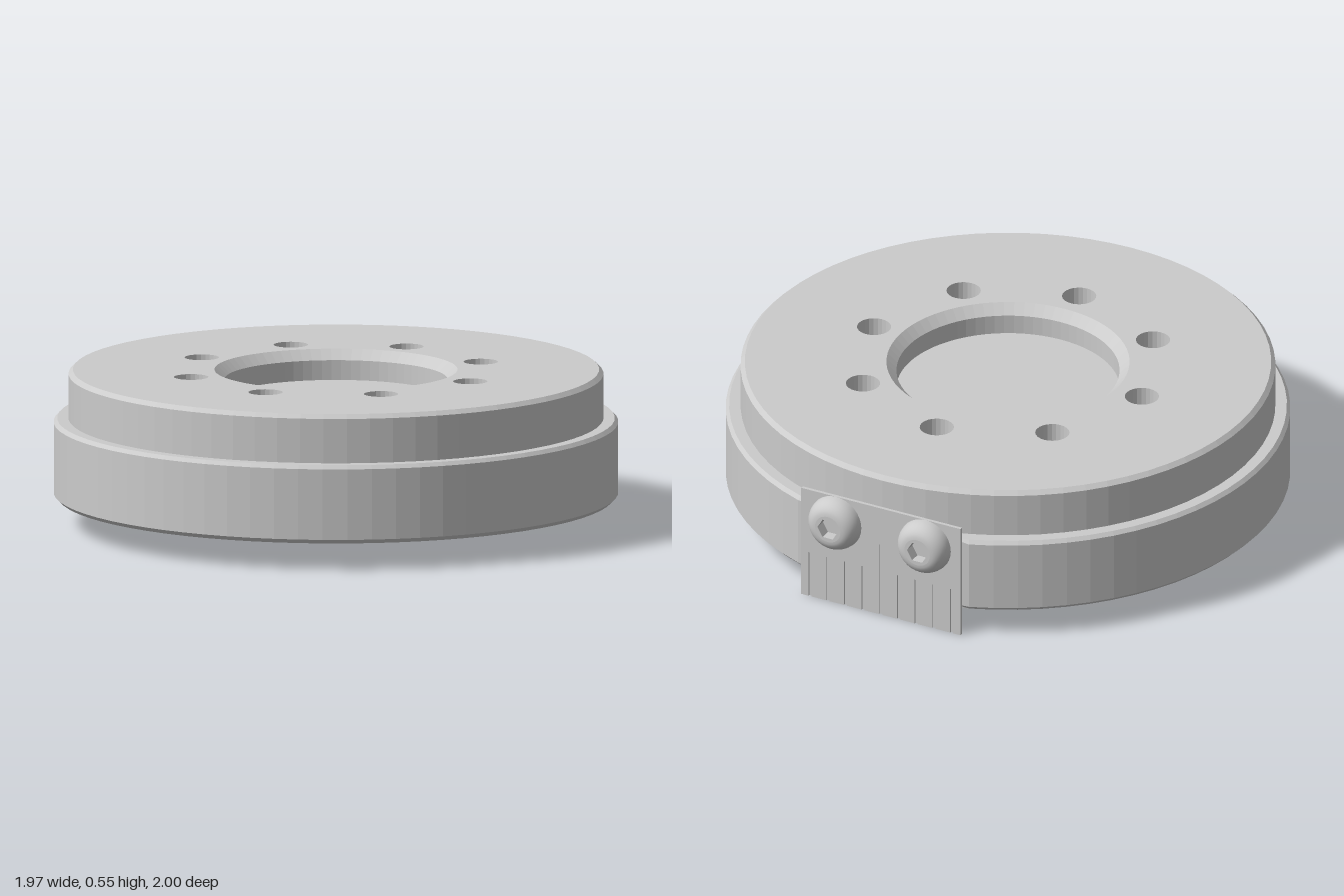
import * as THREE from 'three';

const SEG = 72;
const CENTRE_Z = 0.01; // the disc sits slightly forward of the screw heads
const FLAT_Z = -0.935; // flat milled on the back of the lower rim

const vec = (pts) => pts.map(([x, y]) => new THREE.Vector2(x, y));

function ring(radius, sides, cx = 0, cy = 0) {
  return Array.from({ length: sides }, (_, i) => {
    const a = (i / sides) * Math.PI * 2;
    return new THREE.Vector2(cx + radius * Math.cos(a), cy + radius * Math.sin(a));
  });
}

export function createModel() {
  const model = new THREE.Group();
  model.name = 'mountingDisc';
  const flat = new THREE.MeshStandardMaterial({ color: 0xcccccc, flatShading: true });
  const smooth = new THREE.MeshStandardMaterial({ color: 0xcccccc });

  const add = (parent, name, geometry, material = flat) => {
    const mesh = new THREE.Mesh(geometry, material);
    mesh.name = name;
    parent.add(mesh);
    return mesh;
  };

  const disc = new THREE.Group();
  disc.name = 'disc';
  disc.position.z = CENTRE_Z;
  model.add(disc);

  // Stepped body: underside recess, chamfered lower rim, upper step
  const body = new THREE.LatheGeometry(vec([
    [0, 0.2], [0.885, 0.2], [0.885, 0.11], [0.905, 0.095], [0.972, 0.095],
    [0.987, 0.11], [0.987, 0.36], [0.975, 0.373], [0.935, 0.373],
    [0.935, 0.53], [0.92, 0.545],
  ]), SEG);
  const pos = body.attributes.position;
  for (let i = 0; i < pos.count; i++) pos.setZ(i, Math.max(pos.getZ(i), FLAT_Z));
  add(disc, 'body', body);

  // Top face, pierced by the central bore and eight bolt holes
  const top = new THREE.Shape(ring(0.92, SEG));
  top.holes.push(new THREE.Path(ring(0.425, SEG)));
  const holeProfile = vec([[0.06, 0], [0.06, -0.12], [0, -0.15]]);
  for (let i = 0; i < 8; i++) {
    const a = (i * Math.PI) / 4;
    const x = 0.53 * Math.cos(a), y = 0.53 * Math.sin(a);
    top.holes.push(new THREE.Path(ring(0.06, 24, x, y)));
    add(disc, 'boltHole', new THREE.LatheGeometry(holeProfile, 24)).position.set(x, 0.545, -y);
  }
  const topFace = add(disc, 'topFace', new THREE.ShapeGeometry(top));
  topFace.rotation.x = -Math.PI / 2;
  topFace.position.y = 0.545;

  // Shallow chamfered bore
  add(disc, 'centreBore', new THREE.LatheGeometry(
    vec([[0.425, 0.545], [0.39, 0.51], [0.39, 0.44], [0, 0.44]]), SEG));

  // Scale plate, built facing +z and then turned to the back
  const plate = new THREE.Group();
  plate.name = 'scalePlate';
  plate.rotation.y = Math.PI;
  plate.position.z = -0.925;
  model.add(plate);

  const W = 0.315, H = 0.425, T = 0.006;
  add(plate, 'plateBacking', new THREE.BoxGeometry(W * 2, H, T)).position.set(0, H / 2, T / 2);

  // Engraved layer: graduation grooves open at the lower edge
  const outline = [[-W, 0]];
  for (let i = -4; i <= 4; i++) {
    const x = i * 0.07, h = i === 0 ? 0.28 : 0.175, w = 0.006;
    outline.push([x - w, 0], [x - w, h], [x + w, h], [x + w, 0]);
  }
  outline.push([W, 0], [W, H], [-W, H]);
  add(plate, 'plateGraduations', new THREE.ExtrudeGeometry(new THREE.Shape(vec(outline)),
    { depth: T, bevelEnabled: false })).position.z = T;

  // Two button-head screws with hexagonal sockets
  const dome = [];
  for (let i = 0; i <= 8; i++) {
    const t = i / 8;
    dome.push([0.1 - 0.05 * (1 - Math.cos(t * Math.PI / 2)), 0.063 * Math.sin(t * Math.PI / 2)]);
  }
  const face = new THREE.Shape(ring(0.05, 32));
  face.holes.push(new THREE.Path(ring(0.04, 6)));
  const socket = new THREE.CylinderGeometry(0.04, 0.04, 0.04, 6, 1, true);
  socket.rotateY(Math.PI / 2).rotateX(Math.PI / 2);
  const inside = new THREE.MeshStandardMaterial({
    color: 0xcccccc, flatShading: true, side: THREE.DoubleSide });

  for (const side of [-1, 1]) {
    const screw = new THREE.Group();
    screw.name = 'screw';
    screw.position.set(side * 0.177, 0.325, 2 * T);
    plate.add(screw);
    add(screw, 'screwDome', new THREE.LatheGeometry(vec(dome), 32).rotateX(Math.PI / 2), smooth);
    add(screw, 'screwFace', new THREE.ShapeGeometry(face)).position.z = 0.063;
    add(screw, 'socketWalls', socket, inside).position.z = 0.043;
    add(screw, 'socketFloor', new THREE.ShapeGeometry(new THREE.Shape(ring(0.04, 6)))).position.z = 0.023;
  }

  return model;
}
